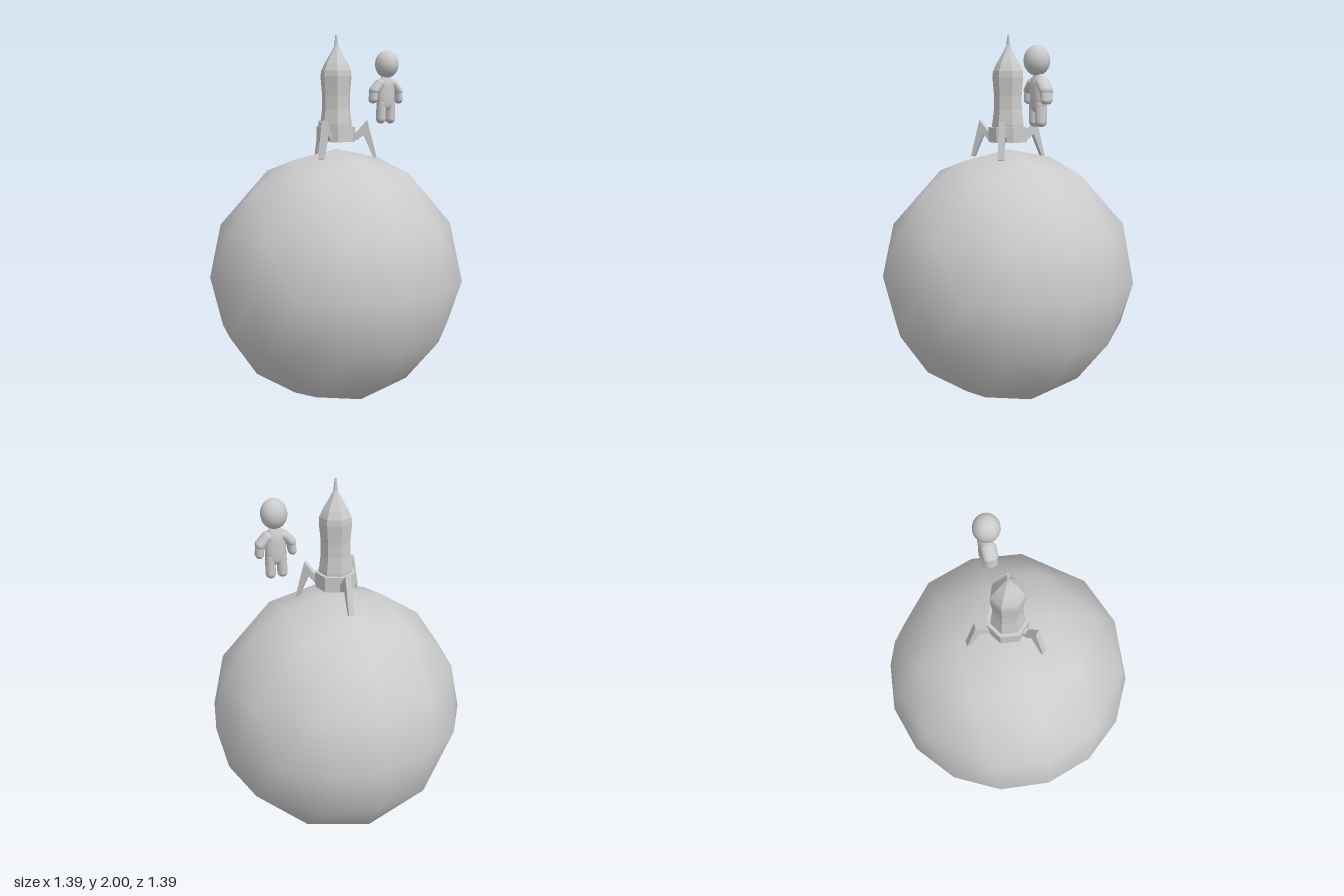
import * as THREE from 'three';

const smooth = new THREE.MeshStandardMaterial({ color: 0xcccccc });
const faceted = new THREE.MeshStandardMaterial({ color: 0xcccccc, flatShading: true });

function add(parent, name, geometry, material, x = 0, y = 0, z = 0) {
  const mesh = new THREE.Mesh(geometry, material);
  mesh.name = name;
  mesh.position.set(x, y, z);
  parent.add(mesh);
  return mesh;
}

// Octahedron halved repeatedly, each new point pushed onto the sphere
function planetGeometry(radius, levels) {
  const positions = [], normals = [];
  const mid = (a, b) => a.clone().add(b).normalize();
  const split = (a, b, c, level) => {
    if (level === 0) {
      for (const p of [a, b, c]) {
        positions.push(p.x * radius, p.y * radius, p.z * radius);
        normals.push(p.x, p.y, p.z);
      }
      return;
    }
    const ab = mid(a, b), bc = mid(b, c), ca = mid(c, a);
    split(a, ab, ca, level - 1);
    split(ab, b, bc, level - 1);
    split(ca, bc, c, level - 1);
    split(ab, bc, ca, level - 1);
  };
  for (const x of [-1, 1]) for (const y of [-1, 1]) for (const z of [-1, 1]) {
    const a = new THREE.Vector3(x, 0, 0), b = new THREE.Vector3(0, y, 0), c = new THREE.Vector3(0, 0, z);
    if (x * y * z > 0) split(a, b, c, levels);
    else split(a, c, b, levels);
  }
  const g = new THREE.BufferGeometry();
  g.setAttribute('position', new THREE.Float32BufferAttribute(positions, 3));
  g.setAttribute('normal', new THREE.Float32BufferAttribute(normals, 3));
  return g;
}

const points = (list) => list.map(([x, y]) => new THREE.Vector2(x, y));

function createRocket() {
  const rocket = new THREE.Group();
  rocket.name = 'rocket';

  // Seven-sided hull with a needle nose, one corner pointing back
  const hull = points([
    [0.088, 1.5], [0.088, 1.53], [0.078, 1.61], [0.077, 1.68], [0.086, 1.78],
    [0.083, 1.81], [0.065, 1.85], [0.028, 1.91], [0.012, 1.94], [0.005, 2], [0, 2],
  ]);
  add(rocket, 'hull', new THREE.LatheGeometry(hull, 7, Math.PI), faceted);

  // Engine ring
  add(rocket, 'engineRing', new THREE.CylinderGeometry(0.108, 0.108, 0.08, 7, 1, false, Math.PI), faceted, 0, 1.475, 0);

  // Three bent landing legs, profile drawn as radius and height
  const profile = new THREE.Shape(points([
    [0.085, 1.445], [0.115, 1.445], [0.148, 1.475], [0.204, 1.35],
    [0.22, 1.353], [0.168, 1.55], [0.11, 1.485], [0.085, 1.485],
  ]));
  const legGeometry = new THREE.ExtrudeGeometry(profile, { depth: 0.03, bevelEnabled: false });
  legGeometry.translate(0, 0, -0.015);
  const step = Math.PI * 2 / 7;
  for (const turn of [0, 2.5 * step, -2.5 * step]) {
    add(rocket, 'landingLeg', legGeometry, faceted).rotation.y = Math.PI / 2 + turn;
  }
  return rocket;
}

function createFigure() {
  const figure = new THREE.Group();
  figure.name = 'figure';
  figure.position.x = 0.32;

  // Large round head
  const head = add(figure, 'head', new THREE.SphereGeometry(1, 16, 12), smooth, 0, 1.856, 0.008);
  head.scale.set(0.067, 0.075, 0.067);

  // Torso, flattened front to back
  const torso = points([
    [0, 1.6], [0.035, 1.605], [0.056, 1.63], [0.054, 1.68], [0.058, 1.73],
    [0.052, 1.765], [0.03, 1.782], [0.022, 1.81], [0, 1.82],
  ]);
  add(figure, 'torso', new THREE.LatheGeometry(torso, 16), smooth).scale.z = 0.66;

  // A limb is a rounded bar between two points in the x-y plane
  const limb = (name, x0, y0, x1, y1, radius, depth) => {
    const length = Math.hypot(x1 - x0, y1 - y0);
    const mesh = add(figure, name, new THREE.CapsuleGeometry(radius, length, 5, 12), smooth, (x0 + x1) / 2, (y0 + y1) / 2, 0);
    mesh.rotation.z = Math.atan2(x0 - x1, y1 - y0);
    mesh.scale.z = depth;
  };
  for (const [side, s] of [['left', 1], ['right', -1]]) {
    limb(side + 'UpperArm', s * 0.042, 1.748, s * 0.078, 1.71, 0.026, 1.45);
    limb(side + 'Forearm', s * 0.078, 1.71, s * 0.085, 1.662, 0.022, 1.5);
    limb(side + 'Leg', s * 0.029, 1.64, s * 0.031, 1.555, 0.026, 1.2);
  }
  return figure;
}

export function createModel() {
  const model = new THREE.Group();
  model.name = 'rocketOnPlanet';
  add(model, 'planet', planetGeometry(0.695, 2), smooth, 0, 0.7, 0);
  model.add(createRocket(), createFigure());
  return model;
}
